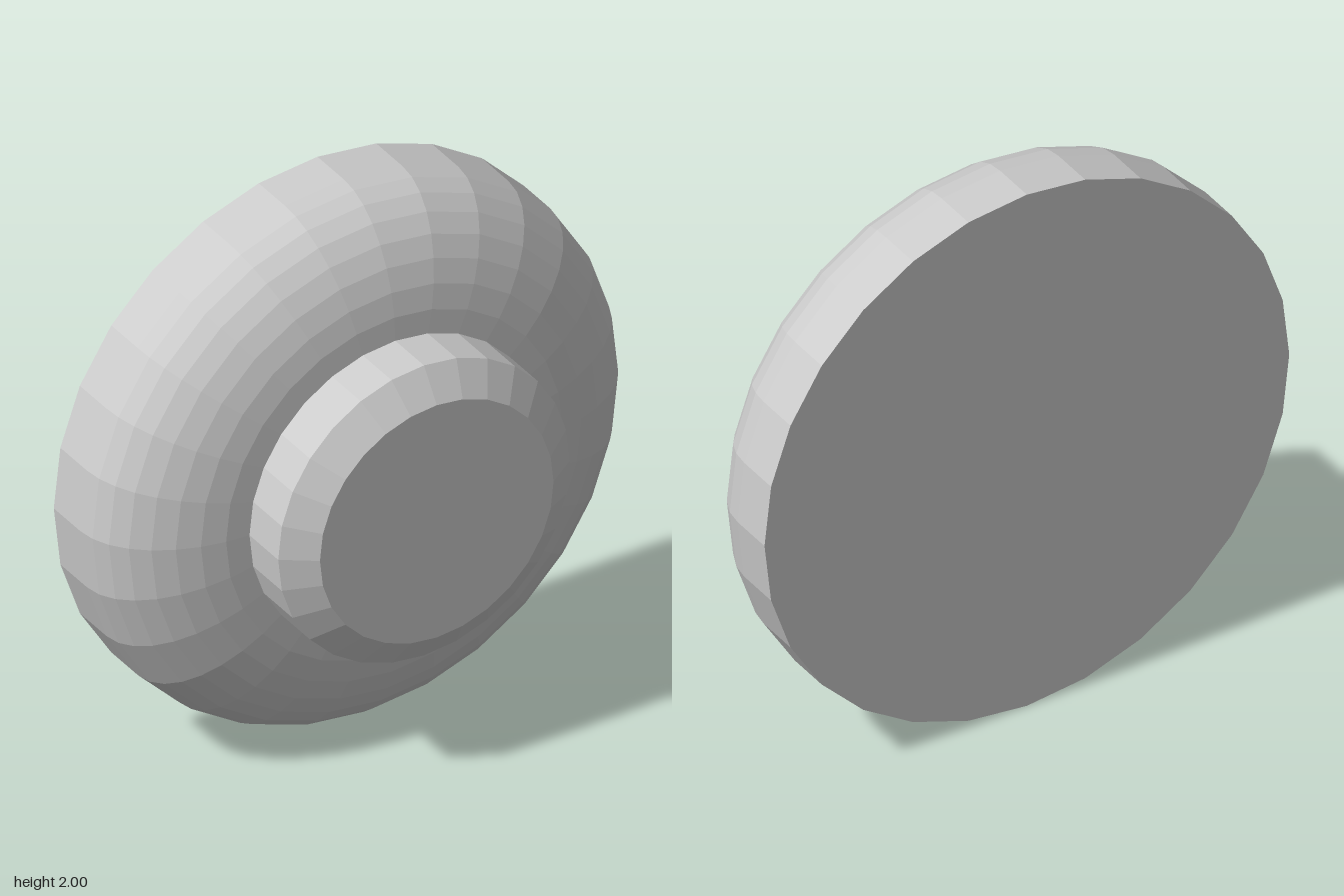
import * as THREE from 'three';

const SIDES = 28;

// Turns a [radius, z] profile, listed back to front, around the z axis.
function turned(name, profile, material) {
  const points = profile.map(([r, z]) => new THREE.Vector2(r, z));
  const geometry = new THREE.LatheGeometry(points, SIDES).rotateX(Math.PI / 2);
  const mesh = new THREE.Mesh(geometry, material);
  mesh.name = name;
  mesh.position.y = 1;
  return mesh;
}

export function createModel() {
  const group = new THREE.Group();
  group.name = 'roundButton';
  const material = new THREE.MeshStandardMaterial({ color: 0xcccccc, flatShading: true });

  // Base: flat back, straight rim, elliptical shoulder
  const base = [[0, -0.36], [1, -0.36]];
  const steps = 8;
  for (let i = 0; i <= steps; i++) {
    const a = (i / steps) * Math.PI / 2;
    base.push([0.55 + 0.45 * Math.cos(a), -0.2 + 0.31 * Math.sin(a)]);
  }
  base.push([0, 0.11]);
  group.add(turned('base', base, material));

  // Knob: short cylinder with a bevelled front edge
  const knob = [[0.553, 0.1], [0.553, 0.283], [0.443, 0.36], [0, 0.36]];
  group.add(turned('knob', knob, material));

  return group;
}
